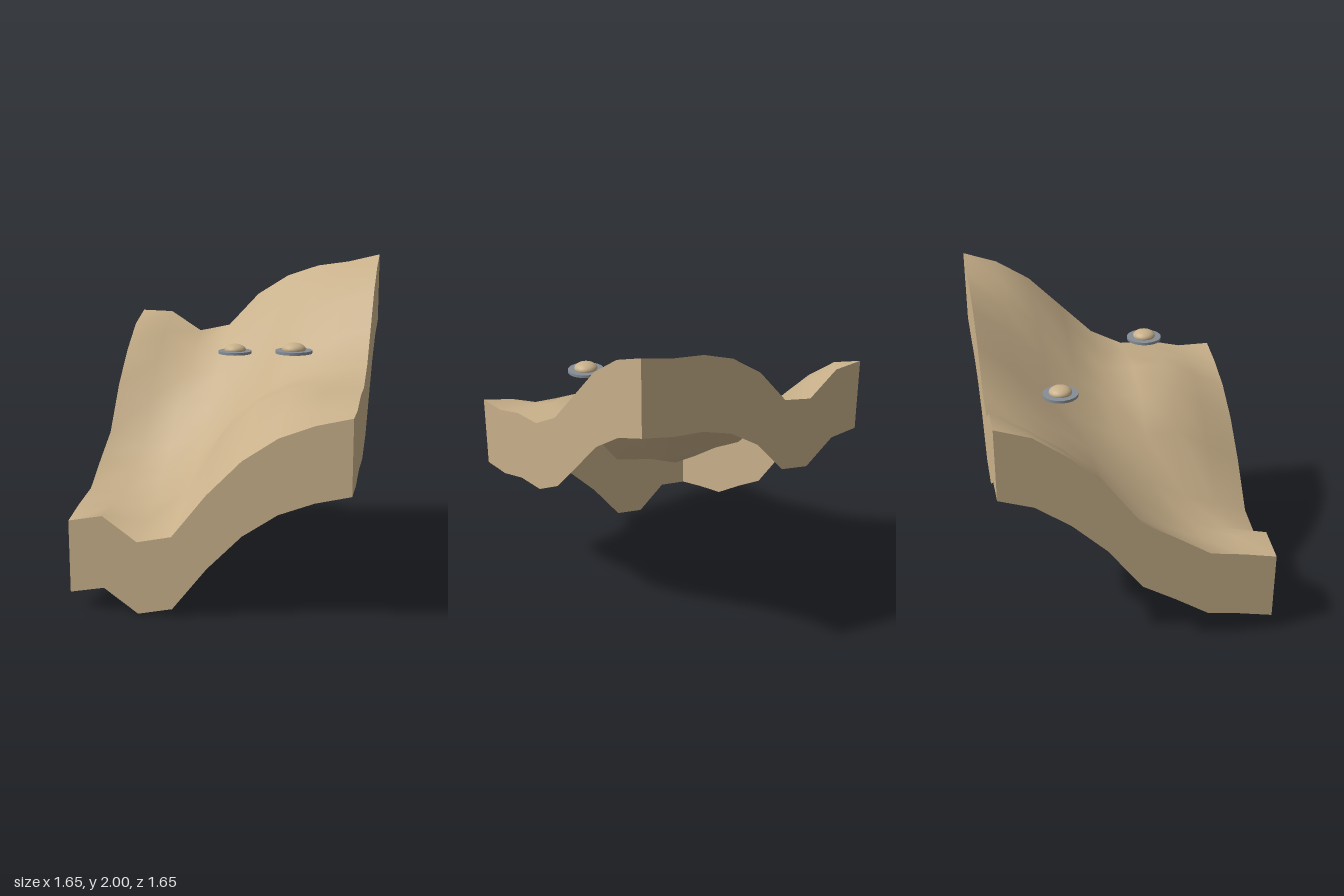
import * as THREE from 'three';

const N = 8, HALF = 0.823, SKIRT = 0.44;

// Ridge and valley heights: one profile per row, back to front, each running from -x to +x
const ROWS = [
  [1.59, 1.585, 1.455, 1.50, 1.72, 1.85, 1.92, 1.95, 2.00],
  [1.52, 1.46, 1.35, 1.38, 1.53, 1.70, 1.81, 1.88, 1.93],
  [1.37, 1.30, 1.22, 1.22, 1.31, 1.50, 1.65, 1.74, 1.80],
  [1.17, 1.07, 1.05, 1.07, 1.14, 1.33, 1.46, 1.54, 1.595],
  [0.89, 0.81, 0.83, 0.90, 1.04, 1.20, 1.30, 1.35, 1.39],
  [0.765, 0.70, 0.69, 0.76, 1.00, 1.19, 1.29, 1.285, 1.285],
  [0.63, 0.595, 0.56, 0.65, 1.01, 1.20, 1.295, 1.285, 1.28],
  [0.595, 0.59, 0.515, 0.57, 0.88, 1.08, 1.20, 1.22, 1.23],
  [0.55, 0.59, 0.445, 0.49, 0.75, 0.96, 1.10, 1.18, 1.23],
];

function mesh(name, geometry, material) {
  const m = new THREE.Mesh(geometry, material);
  m.name = name;
  return m;
}

// Land surface: a grid lifted to the row profiles
function landGeometry() {
  const g = new THREE.PlaneGeometry(2 * HALF, 2 * HALF, N, N).rotateX(-Math.PI / 2);
  const p = g.attributes.position;
  for (let i = 0; i < p.count; i++) {
    p.setY(i, ROWS[Math.floor(i / (N + 1))][i % (N + 1)]);
  }
  g.computeVertexNormals();
  return g;
}

// Skirt wall: drops a constant depth below one edge of the land
function wallGeometry(cell) {
  const pos = [], index = [];
  for (let i = 0; i <= N; i++) {
    const [col, row] = cell(i);
    const x = (col / N * 2 - 1) * HALF, z = (row / N * 2 - 1) * HALF, y = ROWS[row][col];
    pos.push(x, y, z, x, y - SKIRT, z);
    if (i < N) {
      const a = 2 * i;
      index.push(a, a + 1, a + 2, a + 1, a + 3, a + 2);
    }
  }
  const g = new THREE.BufferGeometry();
  g.setAttribute('position', new THREE.Float32BufferAttribute(pos, 3));
  g.setIndex(index);
  g.computeVertexNormals();
  return g;
}

// Hovering disc: flat rim with a flattened dome through its middle
function hoverDisc(name, x, y, z, rimMat, domeMat) {
  const g = new THREE.Group();
  g.name = name;
  g.position.set(x, y, z);
  g.add(mesh('rim', new THREE.CylinderGeometry(0.109, 0.109, 0.017, 32), rimMat));
  const dome = mesh('dome', new THREE.SphereGeometry(0.071, 24, 12).scale(1, 0.53, 1), domeMat);
  dome.position.y = 0.015;
  g.add(dome);
  return g;
}

export function createModel() {
  const sand = new THREE.MeshStandardMaterial({ color: 0xc8b08a });
  sand.name = 'sand';
  sand.side = THREE.DoubleSide;
  const steel = new THREE.MeshStandardMaterial({ color: 0x868d96 });
  steel.name = 'steel grey';

  const model = new THREE.Group();
  model.name = 'terrain';
  model.add(mesh('landSurface', landGeometry(), sand));

  // Four walls, walked so that each faces outwards
  const walls = {
    frontWall: i => [i, N],
    rightWall: i => [N, N - i],
    backWall: i => [N - i, 0],
    leftWall: i => [0, i],
  };
  for (const [name, cell] of Object.entries(walls)) {
    model.add(mesh(name, wallGeometry(cell), sand));
  }

  model.add(hoverDisc('rearHoverDisc', -0.07, 1.385, -0.35, steel, sand));
  model.add(hoverDisc('frontHoverDisc', 0.41, 1.498, 0.273, steel, sand));
  return model;
}
